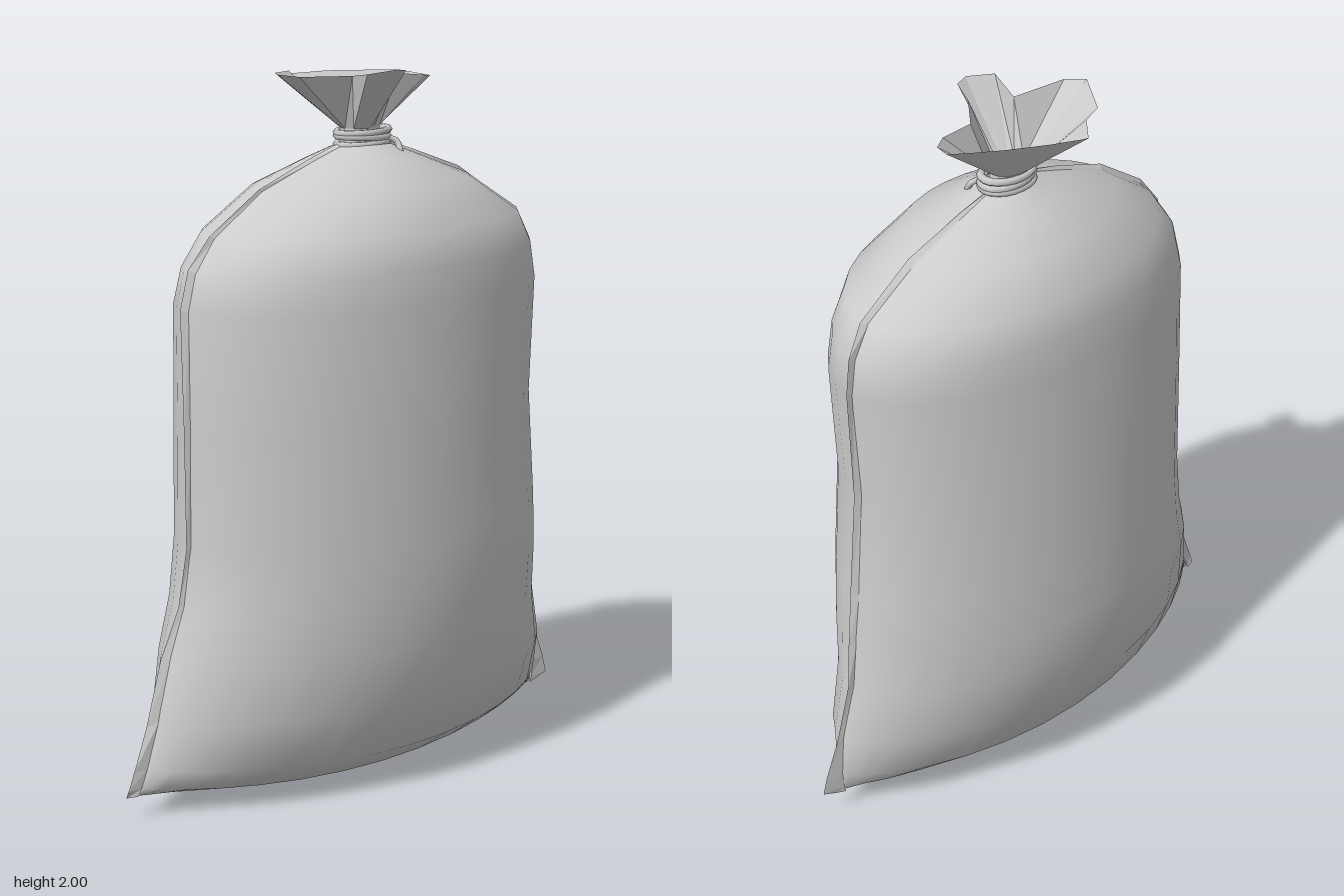
import * as THREE from 'three';

const smooth = new THREE.MeshStandardMaterial({ color: 0xcccccc, side: THREE.DoubleSide });
const folded = new THREE.MeshStandardMaterial({ color: 0xcccccc, side: THREE.DoubleSide, flatShading: true });

// Sack sections, bottom to top: y, left x, right x, front z, back z, roundness, corner lift
const sections = [
  [0.00, -0.76, 0.72, 0.00, 0.00, 0.80, 0.065],
  [0.03, -0.75, 0.725, 0.16, -0.15, 0.80, 0.055],
  [0.105, -0.73, 0.73, 0.265, -0.25, 0.75, 0.03],
  [0.26, -0.69, 0.72, 0.33, -0.325, 0.68, 0],
  [0.43, -0.645, 0.67, 0.355, -0.36, 0.62, 0],
  [0.57, -0.595, 0.655, 0.365, -0.365, 0.57, 0],
  [0.73, -0.57, 0.635, 0.37, -0.355, 0.53, 0],
  [1.05, -0.565, 0.61, 0.36, -0.342, 0.52, 0],
  [1.38, -0.565, 0.63, 0.355, -0.328, 0.52, 0],
  [1.48, -0.54, 0.615, 0.345, -0.317, 0.53, 0],
  [1.57, -0.475, 0.565, 0.33, -0.297, 0.54, 0],
  [1.68, -0.315, 0.39, 0.245, -0.22, 0.56, 0],
  [1.745, -0.14, 0.22, 0.13, -0.12, 0.55, 0],
  [1.785, -0.02, 0.11, 0.055, -0.055, 0.50, 0],
];

// Outer edges of the two side seams: x, y
const seamLeft = [[-0.79, 0.065], [-0.788, 0.085], [-0.765, 0.135], [-0.715, 0.25], [-0.663, 0.43], [-0.607, 0.57],
  [-0.582, 0.73], [-0.58, 1.05], [-0.58, 1.385], [-0.553, 1.49], [-0.488, 1.575], [-0.325, 1.685], [-0.145, 1.752], [-0.02, 1.79]];
const seamRight = [[0.745, 0.07], [0.785, 0.085], [0.775, 0.135], [0.735, 0.26], [0.687, 0.43], [0.67, 0.57],
  [0.65, 0.73], [0.626, 1.05], [0.645, 1.385], [0.632, 1.49], [0.58, 1.575], [0.4, 1.688], [0.225, 1.752], [0.11, 1.79]];

// Neck frill rim, walked round from the right-hand tip: x, y, z
const rim = [
  [-0.235, 1.985, -0.02], [-0.15, 1.975, -0.14], [-0.08, 1.975, -0.165], [-0.03, 1.96, -0.22], [0.07, 1.965, -0.18],
  [0.17, 1.965, -0.12], [0.24, 1.965, -0.07], [0.28, 1.955, -0.015], [0.27, 1.955, 0.03], [0.23, 1.96, 0.05],
  [0.14, 1.97, 0.04], [0.07, 1.985, 0.12], [0.04, 1.995, 0.19], [0.0, 2.0, 0.2], [-0.08, 1.99, 0.17],
  [-0.04, 1.975, 0.06], [-0.2, 1.98, 0.03],
];

// Skin a list of equally long rows of [x, y, z] points
function skin(name, rows, material) {
  const n = rows[0].length, index = [];
  for (let r = 0; r < rows.length - 1; r++) {
    for (let c = 0; c < n - 1; c++) {
      const a = r * n + c, b = a + n;
      index.push(a, a + 1, b + 1, a, b + 1, b);
    }
  }
  const geometry = new THREE.BufferGeometry();
  geometry.setAttribute('position', new THREE.Float32BufferAttribute(rows.flat(2), 3));
  geometry.setIndex(index);
  geometry.computeVertexNormals();
  const mesh = new THREE.Mesh(geometry, material);
  mesh.name = name;
  return mesh;
}

// One bulging cloth panel, front or back
function panel(name, front) {
  const steps = 16;
  const rows = sections.map(([y, xl, xr, zf, zb, round, lift]) =>
    Array.from({ length: steps + 1 }, (_, i) => {
      const t = Math.PI * i / steps;
      const u = (front ? -1 : 1) * Math.cos(t);
      const bulge = Math.pow(Math.max(0, Math.sin(t)), 2 * round);
      return [(xl + xr) / 2 + u * (xr - xl) / 2, y + lift * u * u, (front ? zf : zb) * bulge];
    }));
  return skin(name, rows, smooth);
}

// Thin wedge of doubled cloth along a side edge
function seam(name, outer, side) {
  const rows = sections.map(([y, xl, xr, , , , lift], i) => {
    const x = side < 0 ? xl : xr;
    const inner = x - side * 0.004;
    const z = 0.008 * Math.sin(i * 1.3);
    return [[inner, y + lift, 0.01], [...outer[i], z], [inner, y + lift, -0.01]];
  });
  return skin(name, side > 0 ? rows : rows.map((r) => r.reverse()), folded);
}

// Flared, folded cloth above the tie, closed at the bottom of its throat
function neckFrill() {
  const loop = [...rim, rim[0]];
  const ring = (radius, y) => loop.map(([x, , z]) => {
    const a = Math.atan2(z + 0.01, x - 0.045);
    return [0.045 + 1.15 * radius * Math.cos(a), y, -0.01 + 0.9 * radius * Math.sin(a)];
  });
  return skin('neckFrill', [ring(0, 1.8), ring(0.055, 1.78), ring(0.052, 1.825), loop].reverse(), folded);
}

function tie() {
  const group = new THREE.Group();
  group.name = 'tie';
  // wound cord
  [[1.783, 0.04], [1.8, -0.05], [1.815, 0.03]].forEach(([y, tilt], i) => {
    const cord = new THREE.Mesh(new THREE.TorusGeometry(0.062, 0.01, 6, 20), smooth);
    cord.name = 'cordTurn' + (i + 1);
    cord.scale.set(1.3, 0.92, 1);
    cord.rotation.set(Math.PI / 2, tilt, 0);
    cord.position.set(0.05, y, -0.003);
    group.add(cord);
  });
  // loose end
  const path = new THREE.CatmullRomCurve3([[0.1, 1.795, 0.04], [0.125, 1.785, 0.055], [0.122, 1.735, 0.085], [0.148, 1.698, 0.115]]
    .map((p) => new THREE.Vector3(...p)));
  const end = new THREE.Mesh(new THREE.TubeGeometry(path, 10, 0.009, 6), smooth);
  end.name = 'cordEnd';
  group.add(end);
  return group;
}

export function createModel() {
  const model = new THREE.Group();
  model.name = 'tiedSack';
  model.add(
    panel('frontPanel', true),
    panel('backPanel', false),
    seam('rightSeam', seamLeft, -1),
    seam('leftSeam', seamRight, 1),
    neckFrill(),
    tie(),
  );
  return model;
}
